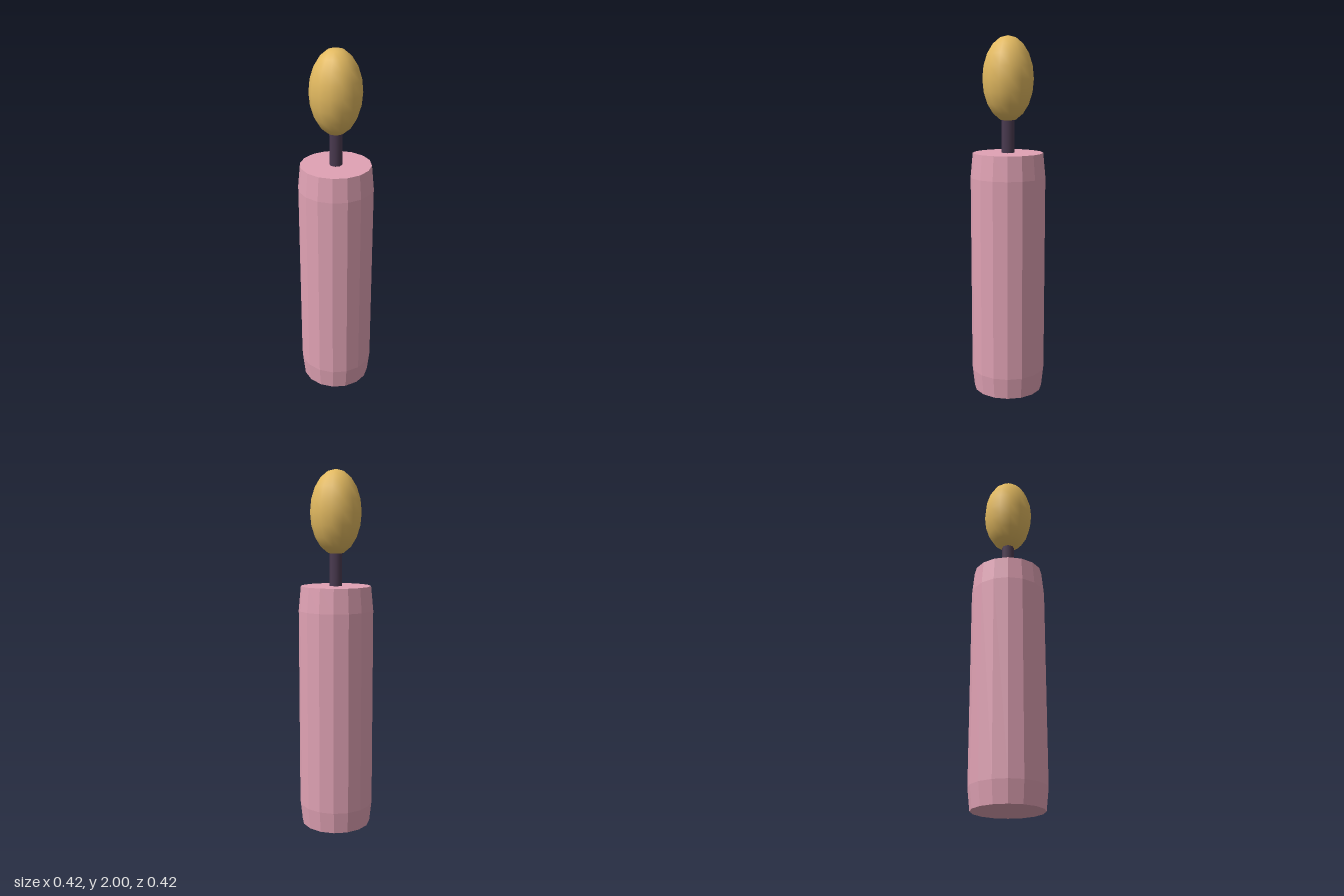
import * as THREE from 'three';

export function createModel() {
  const wax = new THREE.MeshStandardMaterial({ color: 0xe0a2b4 });
  wax.name = 'pink wax';
  const cord = new THREE.MeshStandardMaterial({ color: 0x4a3a50 });
  cord.name = 'dark wick';
  const fire = new THREE.MeshStandardMaterial({ color: 0xe2b960 });
  fire.name = 'golden flame';

  const candle = new THREE.Group();
  candle.name = 'candle';
  const add = (name, geometry, material, y = 0) => {
    const mesh = new THREE.Mesh(geometry, material);
    mesh.name = name;
    mesh.position.y = y;
    candle.add(mesh);
  };

  // Faceted wax body, narrowing slightly at both ends
  const profile = [[0, 0], [0.195, 0], [0.208, 0.12], [0.208, 1.235], [0.195, 1.37], [0, 1.37]]
    .map(([r, y]) => new THREE.Vector2(r, y));
  const body = new THREE.LatheGeometry(profile, 16).toNonIndexed();
  body.computeVertexNormals();
  add('waxBody', body, wax);

  // Wick, running from the wax into the flame
  add('wick', new THREE.CylinderGeometry(0.035, 0.035, 0.25, 8), cord, 1.465);

  // Smooth egg-shaped flame
  add('flame', new THREE.SphereGeometry(0.141, 14, 10).scale(1, 0.23 / 0.141, 1), fire, 1.77);

  return candle;
}
